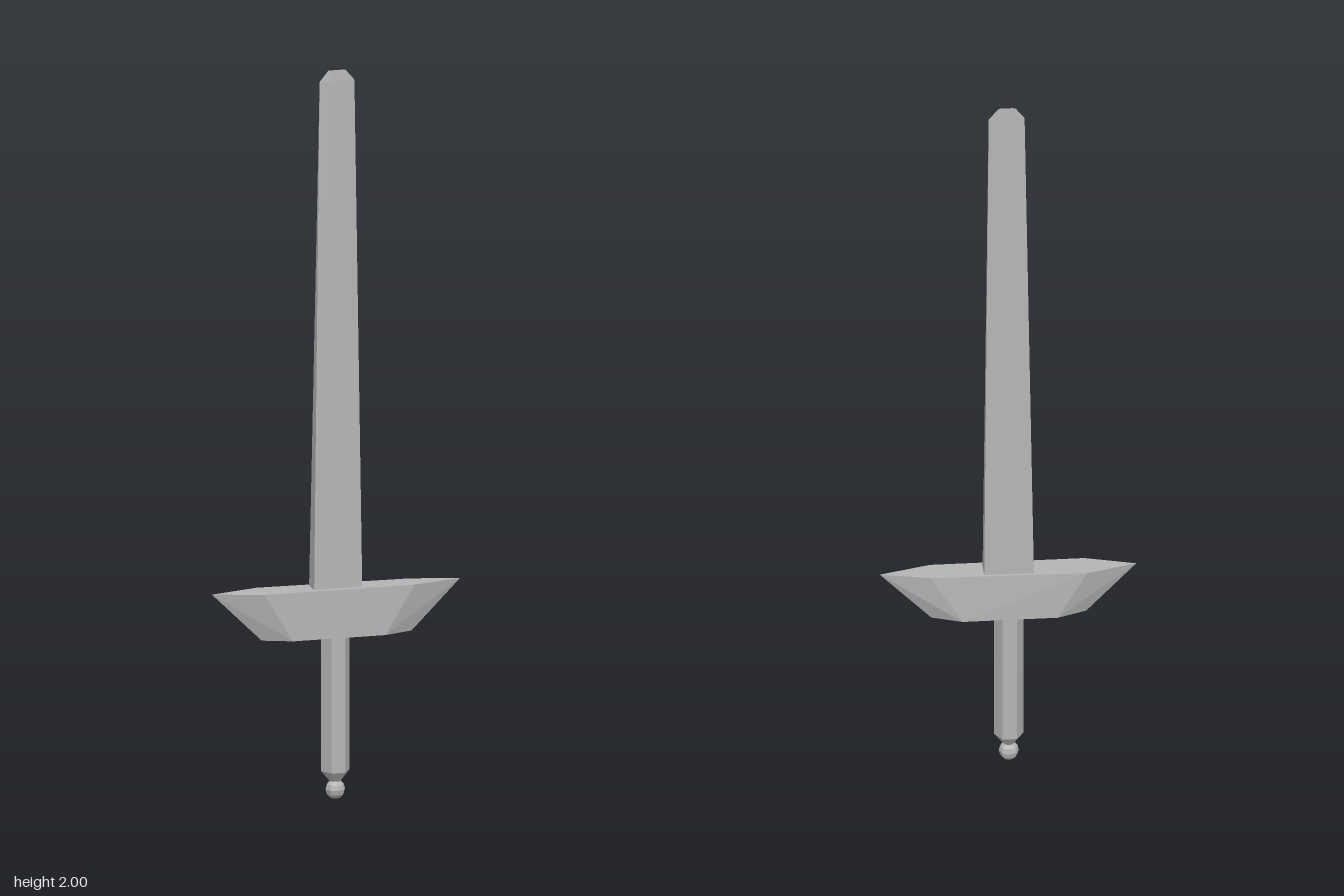
import * as THREE from 'three';
import { ConvexGeometry } from 'three/addons/geometries/ConvexGeometry.js';

export function createModel() {
  const group = new THREE.Group();
  group.name = 'sword';
  const steel = new THREE.MeshStandardMaterial({ color: 0xb4b4b4, flatShading: true });
  steel.name = 'grey steel';

  const add = (name, geometry, x = 0, y = 0, z = 0) => {
    const mesh = new THREE.Mesh(geometry, steel);
    mesh.name = name;
    mesh.position.set(x, y, z);
    group.add(mesh);
  };
  // Faceted solid from levels: [height, [[x, z], ...]]
  const solid = (levels) => new ConvexGeometry(
    levels.flatMap(([y, pts]) => pts.map(([x, z]) => new THREE.Vector3(x, y, z))));

  // Blade: flat back, bevelled front, thinning to a clipped tip
  add('blade', solid([
    [0.575, [[-0.067, -0.027], [0.066, -0.027], [0.066, 0.024], [-0.067, 0.024]]],
    [1.97, [[-0.044, -0.004], [0.052, -0.004], [0.025, 0.002], [-0.014, 0.002]]],
    [2.0, [[-0.02, -0.002], [0.026, -0.002], [0.022, 0], [-0.012, 0]]],
  ]));

  // Crossguard: pointed hexagon above, shorter blunt-ended one below
  add('crossguard', solid([
    [0.583, [[-0.343, 0], [-0.208, -0.041], [0.21, -0.03], [0.343, 0], [0.206, 0.04], [-0.208, 0.04]]],
    [0.45, [[-0.208, -0.01], [-0.208, 0.01], [-0.13, 0.04], [0.125, 0.04],
      [0.206, 0.01], [0.206, -0.01], [0.125, -0.041], [-0.13, -0.041]]],
  ]));

  // Hexagonal grip with a tapered end
  const hex = (top, bottom, height) => new THREE.CylinderGeometry(top, bottom, height, 6).rotateY(Math.PI / 2);
  add('grip', hex(0.039, 0.039, 0.39), -0.002, 0.273);
  add('gripEnd', hex(0.039, 0.016, 0.028), -0.002, 0.064);

  // Faceted pommel ball
  add('pommel', new THREE.SphereGeometry(0.027, 8, 6), -0.002, 0.027);

  return group;
}
